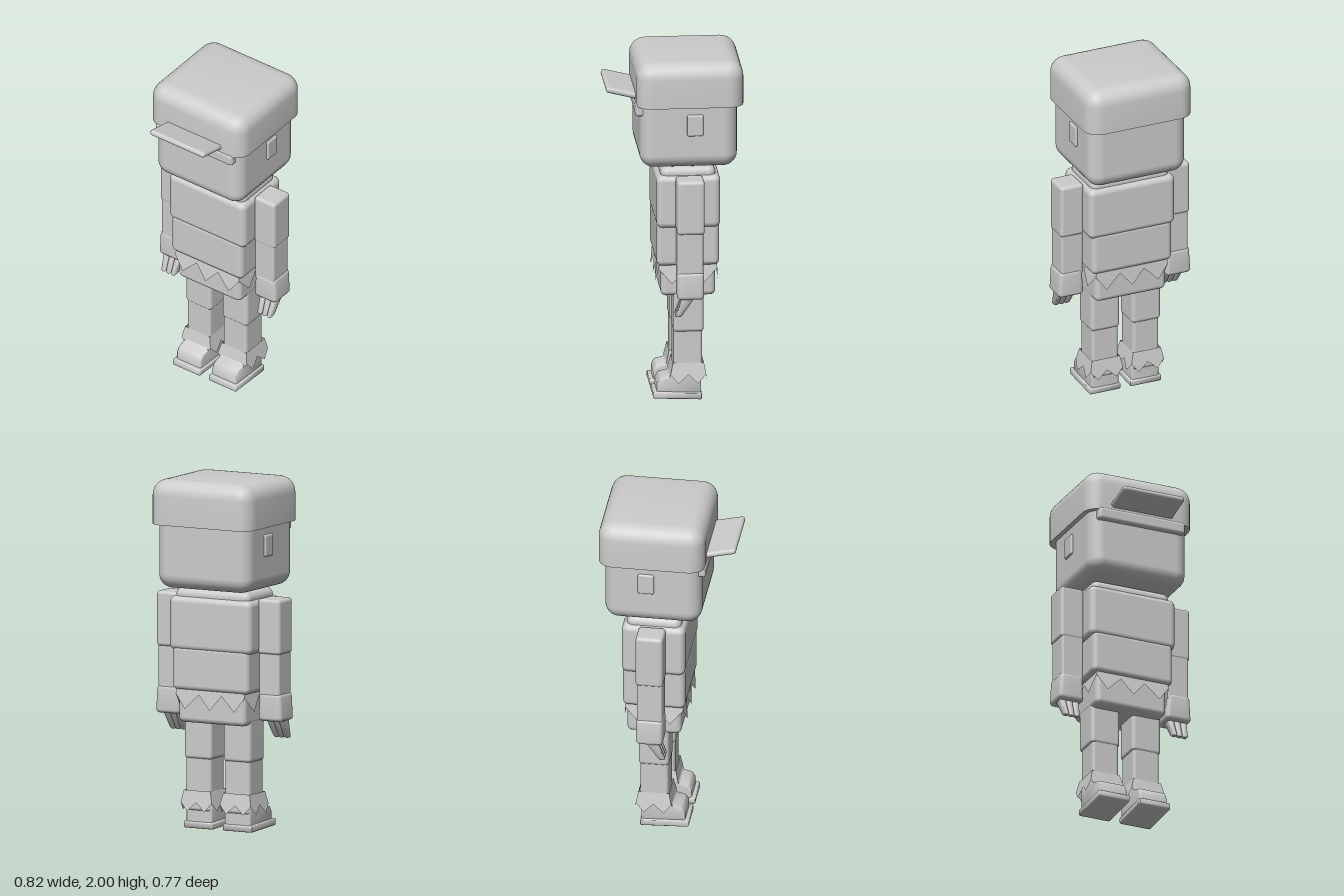
import * as THREE from 'three';
import { RoundedBoxGeometry } from 'three/addons/geometries/RoundedBoxGeometry.js';
import { toCreasedNormals } from 'three/addons/utils/BufferGeometryUtils.js';

const grey = new THREE.MeshStandardMaterial({ color: 0xcccccc, side: THREE.DoubleSide });
grey.name = 'light grey';

function add(parent, name, geometry) {
  const mesh = new THREE.Mesh(geometry, grey);
  mesh.name = name;
  parent.add(mesh);
  return mesh;
}

// Rounded box given by its limits on each axis
function block([x0, x1], [y0, y1], [z0, z1], radius) {
  return new RoundedBoxGeometry(x1 - x0, y1 - y0, z1 - z0, 4, radius)
    .translate((x0 + x1) / 2, (y0 + y1) / 2, (z0 + z1) / 2);
}

// Apply a rule to every vertex, then rebuild the normals
function reshape(geometry, rule) {
  const p = geometry.attributes.position;
  const v = new THREE.Vector3();
  for (let i = 0; i < p.count; i++) {
    rule(v.fromBufferAttribute(p, i));
    p.setXYZ(i, v.x, v.y, v.z);
  }
  return toCreasedNormals(geometry, 0.8);
}

// Rectangular skirt whose lower edge is a zigzag; teeth are counted on the x and z sides
function jaggedSkirt(top, bottom, yTop, yValley, yTip, teethX, teethZ) {
  const ring = [];
  const corners = [[0, 1], [1, 1], [1, 0], [0, 0]];
  corners.forEach((a, side) => {
    const b = corners[(side + 1) % 4];
    const n = 2 * (side % 2 ? teethZ : teethX);
    for (let i = 0; i < n; i++) {
      const t = i / n;
      ring.push([a[0] + (b[0] - a[0]) * t, a[1] + (b[1] - a[1]) * t, i % 2 ? yTip : yValley]);
    }
  });
  const position = [];
  const index = [];
  ring.forEach(([u, w, y], i) => {
    const f = (yTop - y) / (yTop - yTip);
    const at = (k, t) => THREE.MathUtils.lerp(top[k], bottom[k], t);
    const point = (t, h) => position.push(
      THREE.MathUtils.lerp(at(0, t), at(1, t), u), h, THREE.MathUtils.lerp(at(2, t), at(3, t), w));
    point(0, yTop);
    point(f, y);
    const a = 2 * i, b = 2 * ((i + 1) % ring.length);
    index.push(a, a + 1, b, b, a + 1, b + 1);
  });
  const g = new THREE.BufferGeometry();
  g.setAttribute('position', new THREE.Float32BufferAttribute(position, 3));
  g.setIndex(index);
  return toCreasedNormals(g, 0.5);
}

function makeHead() {
  const head = new THREE.Group();
  head.name = 'head';
  add(head, 'face', block([-0.3, 0.3], [1.38, 1.9], [-0.35, 0.2], 0.08));
  // Cap: rounded above, cut flat at its lower rim
  const rim = 1.745;
  add(head, 'cap', reshape(block([-0.327, 0.327], [rim - 0.1, 2], [-0.385, 0.22], 0.09), (v) => {
    v.y = Math.max(v.y, rim);
  }));
  add(head, 'capBand', block([-0.267, 0.267], [1.685, 1.758], [0.15, 0.226], 0.018));
  const visor = add(head, 'visor', new RoundedBoxGeometry(0.38, 0.034, 0.21, 4, 0.016));
  visor.position.set(0, 1.8, 0.282);
  visor.rotation.x = -0.24;
  for (const s of [-1, 1]) {
    const x = [s * 0.3 - 0.012, s * 0.3 + 0.012];
    add(head, 'ear', block(x, [1.575, 1.7], [-0.155, -0.063], 0.011));
  }
  return head;
}

function makeTorso() {
  const torso = new THREE.Group();
  torso.name = 'torso';
  add(torso, 'collar', block([-0.24, 0.24], [1.25, 1.375], [-0.23, 0.08], 0.04));
  add(torso, 'chest', block([-0.265, 0.265], [1.02, 1.328], [-0.255, 0.105], 0.035));
  add(torso, 'waist', block([-0.247, 0.247], [0.795, 1.05], [-0.25, 0.103], 0.03));
  add(torso, 'hips', block([-0.217, 0.217], [0.61, 0.83], [-0.23, 0.078], 0.03));
  add(torso, 'tornHem', jaggedSkirt([-0.215, 0.215, -0.235, 0.085], [-0.24, 0.24, -0.248, 0.106],
    0.82, 0.775, 0.69, 3, 2));
  return torso;
}

function makeArm() {
  const arm = new THREE.Group();
  arm.name = 'arm';
  add(arm, 'upperArm', block([0.257, 0.4], [1.02, 1.335], [-0.155, 0], 0.02));
  add(arm, 'forearm', block([0.26, 0.393], [0.76, 1.05], [-0.147, -0.003], 0.015));
  // Hand widens toward the knuckles
  add(arm, 'hand', reshape(block([0.262, 0.398], [0.64, 0.8], [-0.152, 0], 0.022), (v) => {
    const k = 1 + 0.14 * (0.8 - v.y) / 0.16;
    v.x = 0.332 + (v.x - 0.33) * k;
  }));
  // Tapered fingers reaching forward
  for (let i = -1; i <= 1; i++) {
    add(arm, 'finger', reshape(block([-0.019, 0.019], [0.535, 0.67], [-0.037, 0.037], 0.012), (v) => {
      const t = (0.67 - v.y) / 0.135;
      v.x = 0.335 + i * (0.041 - 0.008 * t) + v.x * (1 - 0.25 * t);
      v.z = -0.075 + 0.07 * t + v.z * (1 - 0.55 * t);
    }));
  }
  return arm;
}

function makeLeg() {
  const leg = new THREE.Group();
  leg.name = 'leg';
  add(leg, 'thigh', block([0.038, 0.215], [0.395, 0.66], [-0.165, 0.008], 0.022));
  add(leg, 'shin', block([0.045, 0.207], [0.1, 0.42], [-0.157, 0.004], 0.018));
  add(leg, 'tornCuff', jaggedSkirt([0.042, 0.213, -0.165, 0.01], [0.014, 0.238, -0.186, 0.035],
    0.217, 0.15, 0.1, 2, 2));
  // Shoe upper, extruded from its side profile
  const profile = [[-0.14, 0.03], [0.09, 0.03], [0.09, 0.09], [0.075, 0.115], [0.025, 0.127],
    [0.005, 0.16], [-0.14, 0.16]];
  const shape = new THREE.Shape(profile.map(([z, y]) => new THREE.Vector2(z, y)));
  const upper = new THREE.ExtrudeGeometry(shape,
    { depth: 0.148, bevelThickness: 0.01, bevelSize: 0.01, bevelSegments: 3 });
  add(leg, 'shoeUpper', toCreasedNormals(upper.rotateY(-Math.PI / 2).translate(0.198, 0, 0), 0.8));
  // Sole with a lifted toe
  add(leg, 'sole', reshape(block([0.03, 0.222], [0, 0.04], [-0.155, 0.122], 0.01), (v) => {
    v.y += 0.012 * Math.max(0, v.z) / 0.122;
  }));
  return leg;
}

export function createModel() {
  const model = new THREE.Group();
  model.name = 'figure';
  model.add(makeHead(), makeTorso());
  for (const make of [makeArm, makeLeg]) {
    const left = make();
    const right = make();
    right.scale.x = -1;
    left.name = 'left ' + left.name;
    right.name = 'right ' + right.name;
    model.add(left, right);
  }
  return model;
}
